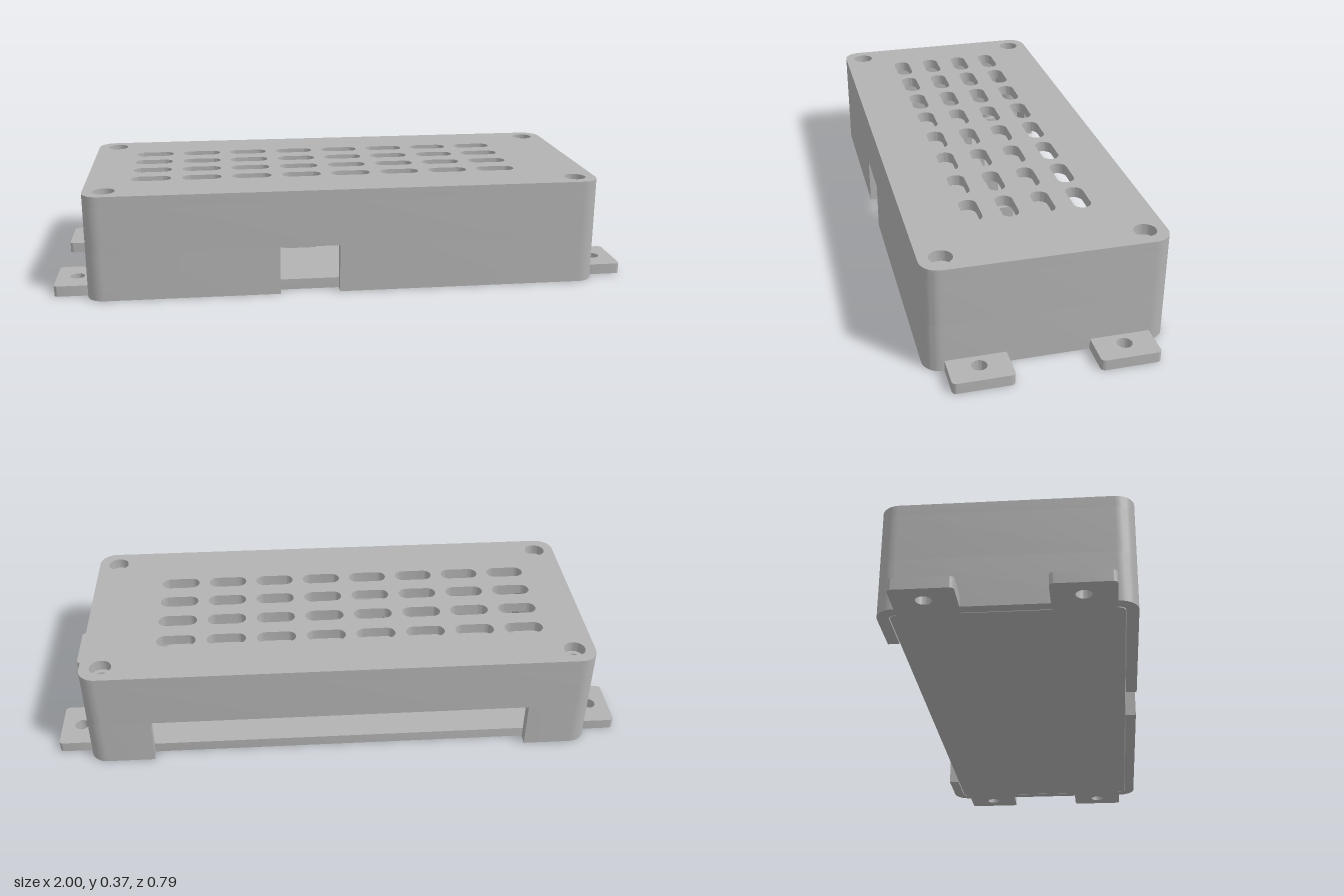
import * as THREE from 'three';
import { toCreasedNormals } from 'three/addons/utils/BufferGeometryUtils.js';

// Overall half sizes, wall thickness and heights
const W = 0.885, D = 0.393, R = 0.06, T = 0.037, H = 0.365, OPEN = 0.168;

// Points along an arc (angles in quarter turns)
function arc(cx, cy, r, q0, q1, n = 10) {
  return Array.from({ length: n + 1 }, (_, i) => {
    const a = (q0 + (q1 - q0) * i / n) * Math.PI / 2;
    return new THREE.Vector2(cx + r * Math.cos(a), cy + r * Math.sin(a));
  });
}

const circle = (x, y, r) => arc(x, y, r, 0, 4, 28).slice(0, -1);

function roundedRect(cx, cy, w, d, r) {
  const x = w / 2 - r, y = d / 2 - r;
  return [
    ...arc(cx + x, cy + y, r, 0, 1), ...arc(cx - x, cy + y, r, 1, 2),
    ...arc(cx - x, cy - y, r, 2, 3), ...arc(cx + x, cy - y, r, 3, 4),
  ];
}

// Flat outline on the ground plane raised from y0 to y1
function slab(points, holes, y0, y1) {
  const shape = new THREE.Shape(points);
  shape.holes = holes.map(h => new THREE.Path(h));
  const g = new THREE.ExtrudeGeometry(shape, { depth: y1 - y0, bevelEnabled: false });
  g.rotateX(-Math.PI / 2);
  g.translate(0, y0, 0);
  return toCreasedNormals(g, 0.6);
}

export function createModel() {
  const model = new THREE.Group();
  model.name = 'ventedEnclosure';
  const grey = new THREE.MeshStandardMaterial({ color: 0xb2b2b2 });
  grey.name = 'grey plastic';

  const add = (name, geometry) => {
    const mesh = new THREE.Mesh(geometry, grey);
    mesh.name = name;
    model.add(mesh);
    return mesh;
  };
  const box = (name, x0, x1, y0, y1, z0, z1) => add(name,
    new THREE.BoxGeometry(x1 - x0, y1 - y0, z1 - z0)
      .translate((x0 + x1) / 2, (y0 + y1) / 2, (z0 + z1) / 2));

  // Lid with ventilation slots and screw holes
  const holes = [];
  for (let row = 0; row < 4; row++)
    for (let col = 0; col < 8; col++)
      holes.push(roundedRect(-0.663 + col * 0.1755, 0.187 - row * 0.1203, 0.137, 0.06, 0.0299));
  const screws = [];
  for (const x of [-0.813, 0.813]) for (const z of [-0.322, 0.322]) screws.push([x, z]);
  for (const [x, z] of screws) holes.push(circle(x, -z, 0.037));
  add('lid', slab(roundedRect(0, 0, 2 * W, 2 * D, R), holes, H - T, H));

  // Countersunk screw bosses under the lid corners
  const bossProfile = [[0.02, T], [0.055, T], [0.055, H - T], [0.037, H - T], [0.02, H - T], [0.02, T]]
    .map(p => new THREE.Vector2(...p));
  const bossGeometry = toCreasedNormals(new THREE.LatheGeometry(bossProfile, 28), 0.6);
  for (const [x, z] of screws) add('screwBoss', bossGeometry).position.set(x, 0, z);

  // Upper wall, closed all the way round
  const inner = roundedRect(0, 0, 2 * (W - T), 2 * (D - T), R - T);
  add('upperWall', slab(roundedRect(0, 0, 2 * W, 2 * D, R), [inner], OPEN, H - T));

  // Lower wall in two halves, leaving the cable and back openings
  const halfWall = (s, xFront, xBack) => {
    const x = W - R, y = D - R, V = (a, b) => new THREE.Vector2(a, b);
    const points = [
      V(xFront, -D), ...arc(x, -y, R, -1, 0), ...arc(x, y, R, 0, 1), V(xBack, D),
      V(xBack, D - T), ...arc(x, y, R - T, 1, 0), ...arc(x, -y, R - T, 0, -1), V(xFront, -D + T),
    ];
    return slab(points.map(p => V(p.x * s, p.y)), [], 0, OPEN);
  };
  add('leftWall', halfWall(1, -0.025, 0.66));
  add('rightWall', halfWall(-1, 0.23, 0.66));

  // Floor and its mounting tabs
  add('floor', slab(roundedRect(0, 0, 2 * (W - T) - 0.006, 2 * (D - T) - 0.006, R - T), [], 0, T));
  for (const sx of [-1, 1]) for (const sz of [-1, 1])
    add('mountingTab', slab(roundedRect(sx * 0.92, sz * 0.233, 0.16, 0.196, 0.014),
      [circle(sx * 0.93, sz * 0.233, 0.025)], 0, T));

  // Standoff posts with locating pins
  for (const x of [-0.69, 0.69]) for (const z of [-0.19, 0.19]) {
    add('post', new THREE.CylinderGeometry(0.042, 0.042, 0.06, 24)).position.set(x, T + 0.03, z);
    add('postPin', new THREE.CylinderGeometry(0.024, 0.024, 0.05, 24)).position.set(x, T + 0.085, z);
  }

  // Inner rib row carrying a rail, with a connector block behind the cable opening
  for (let i = 0; i < 6; i++) {
    const x = -0.518 + i * 0.22;
    box('rib', x - 0.018, x + 0.018, T, 0.12, -0.082, -0.02);
  }
  box('rail', -0.536, 0.6, 0.1, 0.12, -0.03, 0.02);
  box('connectorBase', -0.19, -0.07, T, 0.1, -0.02, 0.02);
  box('connectorBlock', -0.185, -0.055, 0.12, OPEN, -0.03, 0.02);

  return model;
}
